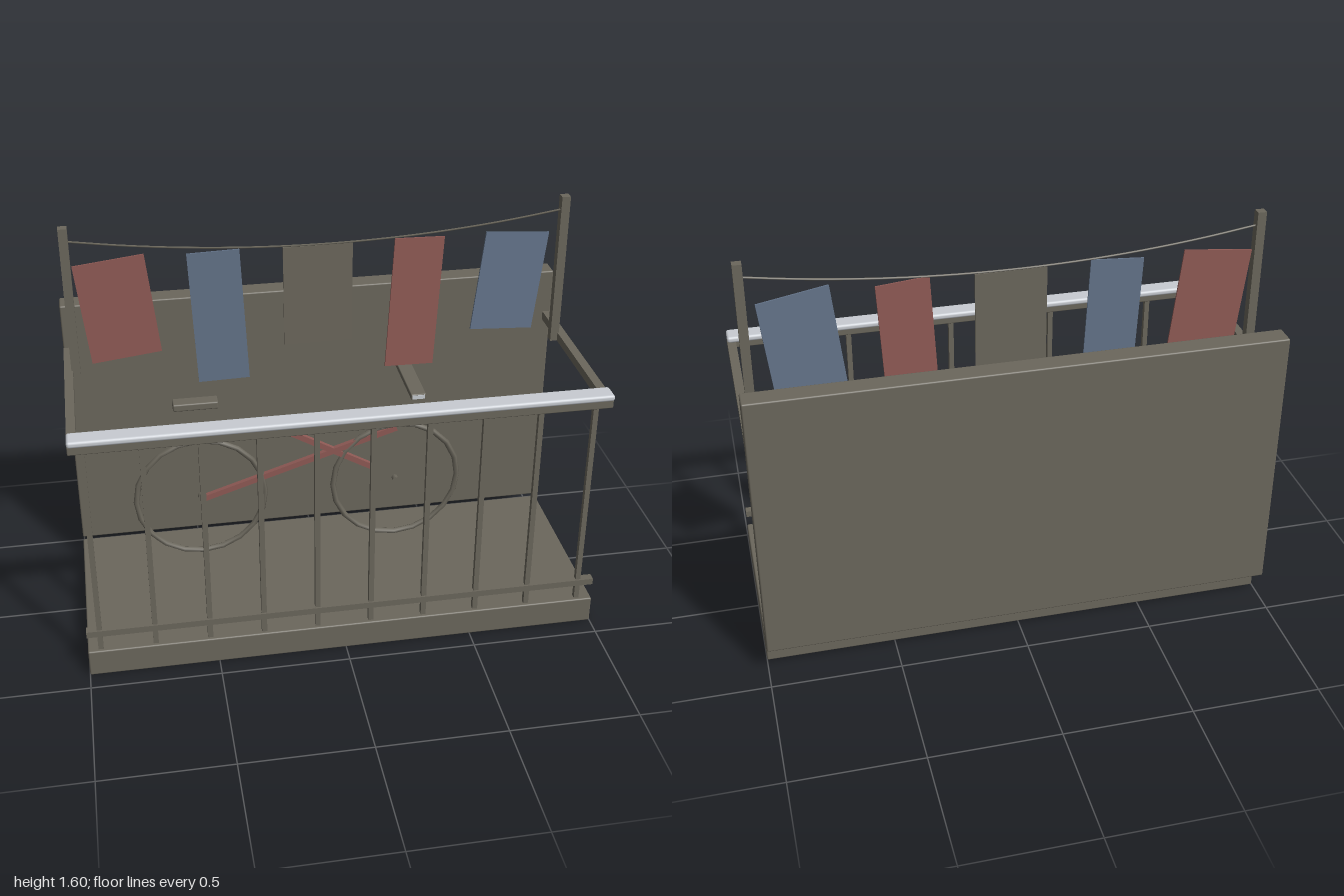
import * as THREE from 'three';
import { RoundedBoxGeometry } from 'three/addons/geometries/RoundedBoxGeometry.js';

function material(name, color) {
  const m = new THREE.MeshStandardMaterial({ color });
  m.name = name;
  return m;
}

export function createModel() {
  const stone = material('warm grey', 0x6b675c);
  const red = material('faded red', 0x8f5a55);
  const blue = material('faded blue', 0x64748a);
  const silver = material('pale metal', 0xc8ccd2);

  const model = new THREE.Group();
  model.name = 'balcony';

  const add = (name, geometry, mat, x, y, z, parent = model) => {
    const mesh = new THREE.Mesh(geometry, mat);
    mesh.name = name;
    mesh.position.set(x, y, z);
    parent.add(mesh);
    return mesh;
  };
  // Box given by its extents along each axis
  const block = (name, mat, [x0, x1], [y0, y1], [z0, z1], radius = 0) => {
    const size = [x1 - x0, y1 - y0, z1 - z0];
    const geometry = radius
      ? new RoundedBoxGeometry(...size, 2, radius)
      : new THREE.BoxGeometry(...size);
    return add(name, geometry, mat, (x0 + x1) / 2, (y0 + y1) / 2, (z0 + z1) / 2);
  };

  // Slab and back wall
  block('floor', stone, [-1, 1], [0, 0.11], [-0.345, 0.425], 0.006);
  block('backWall', stone, [-1, 1], [0.115, 1.2], [-0.435, -0.35], 0.006);

  // Railing
  block('frontRail', stone, [-1, 1], [0.985, 1.02], [0.385, 0.425], 0.004);
  block('handrail', silver, [-1, 1], [1.019, 1.044], [0.36, 0.437], 0.01);
  block('lowerRail', stone, [-1, 1], [0.174, 0.2], [0.385, 0.418]);
  for (let i = 0; i < 10; i++) {
    const x = -0.95 + i * 0.21;
    block('baluster', stone, [x - 0.01, x + 0.01], [0.11, 0.985], [0.391, 0.411]);
  }
  for (const s of [-1, 1]) {
    const x = s * 0.983;
    block('sideRail', stone, [x - 0.017, x + 0.017], [0.985, 1.02], [-0.35, 0.386]);
    block('linePost', stone, [s * 0.955 - 0.017, s * 0.955 + 0.017], [0.985, 1.6], [-0.182, -0.148]);
  }

  // Sagging clothes line
  const lineZ = -0.165;
  const points = [];
  for (let i = 0; i <= 10; i++) {
    const t = -1 + i / 5;
    points.push(new THREE.Vector3(t * 0.945, 1.468 + 0.077 * t * t, lineZ));
  }
  add('clothesLine', new THREE.TubeGeometry(new THREE.CatmullRomCurve3(points), 30, 0.004, 5), stone, 0, 0, 0);

  // Laundry: x, y, width, height, roll, yaw, colour
  const laundry = [
    [-0.778, 1.257, 0.27, 0.41, 0.11, 0.02, red],
    [-0.397, 1.195, 0.2, 0.545, 0.045, -0.04, blue],
    [-0.01, 1.26, 0.27, 0.41, 0, 0.02, stone],
    [0.372, 1.195, 0.2, 0.545, -0.055, 0.08, red],
    [0.753, 1.258, 0.267, 0.41, -0.115, 0.13, blue],
  ];
  for (const [x, y, w, h, roll, yaw, mat] of laundry) {
    const cloth = add('hangingCloth', new THREE.BoxGeometry(w, h, 0.006), mat, x, y, lineZ);
    cloth.rotation.set(0, yaw, roll);
  }

  // Bicycle leaning inside the balcony
  const bicycle = new THREE.Group();
  bicycle.name = 'bicycle';
  model.add(bicycle);
  for (const x of [-0.5, 0.315]) {
    add('wheel', new THREE.TorusGeometry(0.265, 0.012, 6, 20), stone, x, 0.385, lineZ, bicycle);
    const hub = add('hub', new THREE.CylinderGeometry(0.013, 0.013, 0.024, 8), stone, x, 0.385, lineZ, bicycle);
    hub.rotation.x = Math.PI / 2;
  }
  const bar = (x0, y0, x1, y1) => {
    const length = Math.hypot(x1 - x0, y1 - y0);
    const mesh = add('frameBar', new THREE.BoxGeometry(length, 0.024, 0.02), red,
      (x0 + x1) / 2, (y0 + y1) / 2, lineZ, bicycle);
    mesh.rotation.z = Math.atan2(y1 - y0, x1 - x0);
  };
  bar(-0.505, 0.372, 0.315, 0.635);
  bar(-0.168, 0.677, 0.222, 0.453);
  bicycle.add(block('saddle', stone, [-0.595, -0.415], [0.807, 0.838], [-0.195, -0.137], 0.006));
  bicycle.add(block('handlebar', stone, [0.33, 0.39], [0.857, 0.88], [-0.35, 0.012], 0.004));
  bicycle.add(block('handlebarEnd', silver, [0.335, 0.385], [0.86, 0.876], [0.01, 0.015]));

  return model;
}
